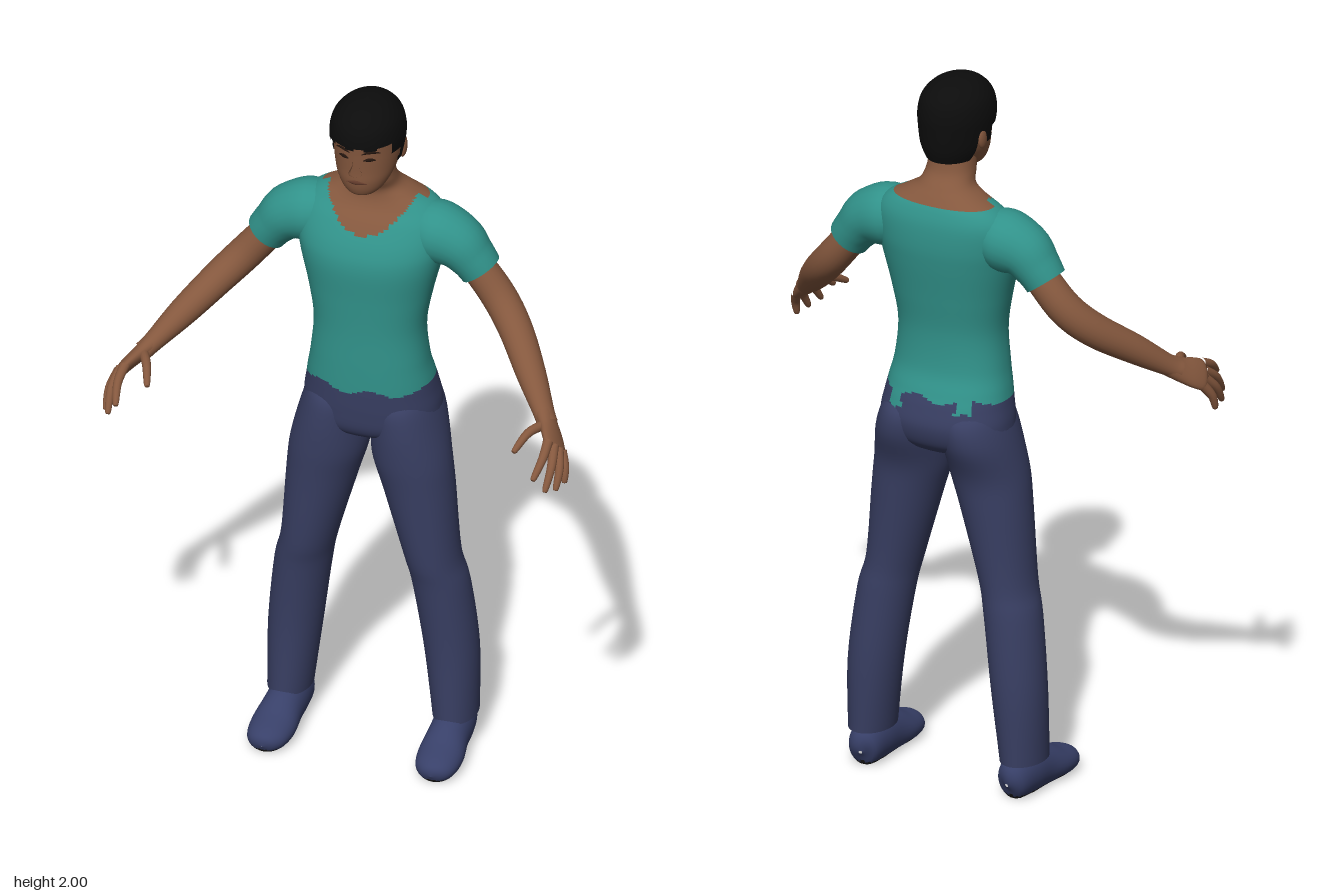
import * as THREE from 'three';

const mat = (name, color, side = THREE.FrontSide) => {
  const m = new THREE.MeshStandardMaterial({ color, side });
  m.name = name;
  return m;
};

// Smooth value between control rows (Catmull-Rom), t counted in rows
function rowAt(rows, t) {
  const i = Math.min(Math.floor(t), rows.length - 2), f = t - i;
  const at = (k) => rows[Math.max(0, Math.min(rows.length - 1, k))];
  const [p, q, r, s] = [at(i - 1), at(i), at(i + 1), at(i + 2)];
  return q.map((v, k) => v + 0.5 * f * (r[k] - p[k] + f * (2 * p[k] - 5 * v + 4 * r[k] - s[k]
    + f * (3 * (v - r[k]) + s[k] - p[k]))));
}

// Skin of oval rings along rows of [x, y, z, halfWidth, halfDepth].
// flat keeps rings level; power below 1 squares the ovals;
// pick(x, y, z) gives a face's material number, or -1 to leave it out.
function sweep(rows, { segs = 24, steps = 5, ref = [0, 0, 1], flat = false, power = 1, floor = -9, pick = () => 0 } = {}) {
  const n = (rows.length - 1) * steps, pos = [], lists = [];
  const soft = (v) => Math.sign(v) * Math.abs(v) ** power;
  for (let i = 0; i <= n; i++) {
    const t = i / steps, [x, y, z, a, b] = rowAt(rows, t);
    const p = rowAt(rows, Math.max(0, t - 0.05)), q = rowAt(rows, Math.min(rows.length - 1, t + 0.05));
    const T = flat ? new THREE.Vector3(0, 1, 0)
      : new THREE.Vector3(q[0] - p[0], q[1] - p[1], q[2] - p[2]).normalize();
    const U = new THREE.Vector3(...ref).projectOnPlane(T).normalize();
    const V = T.clone().cross(U);
    for (let j = 0; j < segs; j++) {
      const w = (j / segs) * Math.PI * 2;
      const c = new THREE.Vector3(x, y, z)
        .addScaledVector(V, Math.max(a, 0.0005) * soft(Math.cos(w)))
        .addScaledVector(U, Math.max(b, 0.0005) * soft(Math.sin(w)));
      pos.push(c.x, Math.max(c.y, floor), c.z);
    }
  }
  for (let i = 0; i < n; i++) for (let j = 0; j < segs; j++) {
    const a = i * segs + j, c = i * segs + (j + 1) % segs, b = a + segs, d = c + segs;
    const mid = [0, 1, 2].map((k) => (pos[a * 3 + k] + pos[b * 3 + k] + pos[c * 3 + k] + pos[d * 3 + k]) / 4);
    const m = pick(...mid);
    if (m >= 0) (lists[m] ??= []).push(a, b, c, b, d, c);
  }
  const geo = new THREE.BufferGeometry(), index = [];
  geo.setAttribute('position', new THREE.Float32BufferAttribute(pos, 3));
  lists.forEach((list, m) => {
    geo.addGroup(index.length, list.length, m);
    for (const v of list) index.push(v);
  });
  geo.setIndex(index);
  geo.computeVertexNormals();
  return geo;
}

export function createModel() {
  const model = new THREE.Group();
  model.name = 'standingMan';
  const skin = mat('skin', 0x85583e);
  const shirt = mat('shirt teal', 0x31928a, THREE.DoubleSide);
  const denim = mat('trouser blue', 0x383e62, THREE.DoubleSide);
  const shoe = mat('shoe blue', 0x384069);
  const sole = mat('sole black', 0x1d1c1b);
  const hair = mat('hair black', 0x0c0c0c, THREE.DoubleSide);
  const dark = mat('eye brown', 0x24160f);
  const lip = mat('lip brown', 0x643c2c);
  const add = (name, geo, material, parent = model) => {
    const mesh = new THREE.Mesh(geo, material);
    mesh.name = name;
    parent.add(mesh);
    return mesh;
  };

  // Pelvis, shirt body and neck in one surface, split by hem and neckline
  const body = [
    [0.95, -0.13, 0.06, 0.06], [0.97, -0.13, 0.14, 0.1], [1.0, -0.134, 0.182, 0.124],
    [1.05, -0.137, 0.186, 0.134], [1.1, -0.13, 0.178, 0.13], [1.14, -0.122, 0.171, 0.123],
    [1.2, -0.112, 0.16, 0.113], [1.3, -0.11, 0.152, 0.11], [1.4, -0.115, 0.168, 0.118],
    [1.5, -0.121, 0.192, 0.128], [1.56, -0.131, 0.203, 0.124], [1.62, -0.146, 0.2, 0.106],
    [1.66, -0.155, 0.17, 0.085], [1.69, -0.152, 0.115, 0.07], [1.715, -0.142, 0.077, 0.062],
    [1.75, -0.12, 0.066, 0.06], [1.8, -0.11, 0.062, 0.06],
  ].map(([y, z, a, b]) => [0, y, z, a, b]);
  add('torso', sweep(body, {
    segs: 96, steps: 7, flat: true, power: 0.9,
    pick: (x, y, z) => {
      const hem = 1.125 + 0.008 * Math.sin(x * 45) - (z < -0.2 && Math.abs(Math.abs(x) - 0.1) < 0.02 ? 0.035 : 0);
      const neckline = z > -0.15 ? 1.597 + 6 * x * x : 1.672;
      return y < hem ? 0 : y > neckline ? 2 : 1;
    },
  }), [denim, shirt, skin]);

  // Limbs, mirrored by sign
  for (const s of [1, -1]) {
    const side = s > 0 ? 'left' : 'right';
    const limb = (name, rows, material, opts) =>
      add(side + name, sweep(rows.map(([x, ...rest]) => [x * s, ...rest]), opts), material);

    limb('TrouserLeg', [
      [0.23, 0.1, -0.135, 0.06, 0.083], [0.217, 0.3, -0.14, 0.073, 0.083],
      [0.192, 0.5, -0.128, 0.077, 0.084], [0.17, 0.6, -0.117, 0.076, 0.088],
      [0.134, 0.8, -0.115, 0.097, 0.1], [0.114, 0.9, -0.116, 0.106, 0.11],
      [0.1, 1.0, -0.134, 0.098, 0.13], [0.09, 1.07, -0.137, 0.085, 0.122], [0.09, 1.11, -0.13, 0.06, 0.07],
    ], denim, { segs: 32, flat: true });

    limb('Shoe', [
      [0.222, 0.045, -0.217, 0.005, 0.005], [0.225, 0.05, -0.2, 0.04, 0.052],
      [0.228, 0.06, -0.14, 0.052, 0.068], [0.23, 0.053, -0.07, 0.055, 0.062],
      [0.233, 0.038, 0, 0.062, 0.046], [0.235, 0.03, 0.055, 0.054, 0.036],
      [0.235, 0.026, 0.083, 0.032, 0.024], [0.235, 0.024, 0.092, 0, 0],
    ], [shoe, sole], { segs: 32, ref: [0, 1, 0], floor: 0, pick: (x, y) => (y < 0.012 ? 1 : 0) });

    limb('Sleeve', [
      [0.11, 1.585, -0.142, 0.065, 0.065], [0.17, 1.583, -0.142, 0.085, 0.085],
      [0.232, 1.562, -0.14, 0.077, 0.077], [0.272, 1.523, -0.14, 0.063, 0.066], [0.298, 1.488, -0.14, 0.058, 0.058],
    ], shirt);

    limb('Arm', [
      [0.22, 1.565, -0.14, 0.045, 0.045], [0.29, 1.49, -0.142, 0.046, 0.047],
      [0.355, 1.413, -0.13, 0.047, 0.048], [0.415, 1.35, -0.085, 0.045, 0.047],
      [0.485, 1.28, 0, 0.039, 0.041], [0.545, 1.218, 0.075, 0.027, 0.031], [0.565, 1.2, 0.1, 0.026, 0.03],
    ], skin);

    // Palm, flat between thumb side and little-finger side
    limb('Palm', [
      [0.545, 1.218, 0.075, 0.026, 0.03], [0.57, 1.197, 0.105, 0.021, 0.036],
      [0.592, 1.18, 0.138, 0.018, 0.044], [0.605, 1.168, 0.163, 0.014, 0.04], [0.61, 1.163, 0.173, 0, 0],
    ], skin, { ref: [-0.35 * s, 0.65, 0.6] });

    const fingers = {
      IndexFinger: [[0.59, 1.195, 0.175], [0.592, 1.172, 0.225], [0.582, 1.135, 0.272]],
      MiddleFinger: [[0.603, 1.18, 0.165], [0.613, 1.145, 0.215], [0.609, 1.095, 0.255]],
      RingFinger: [[0.612, 1.165, 0.153], [0.627, 1.127, 0.19], [0.627, 1.082, 0.22]],
      LittleFinger: [[0.616, 1.15, 0.138], [0.632, 1.115, 0.16], [0.635, 1.078, 0.172]],
      Thumb: [[0.56, 1.205, 0.11], [0.532, 1.205, 0.165], [0.512, 1.178, 0.22]],
    };
    for (const [name, [p, q, r]] of Object.entries(fingers)) {
      const tip = r.map((v, k) => v + (r[k] - q[k]) * 0.06);
      limb(name, [[...p, 0.014, 0.014], [...q, 0.012, 0.012], [...r, 0.008, 0.008], [...tip, 0, 0]],
        skin, { segs: 12, ref: [1, 0, 0] });
    }
  }

  // Head
  const head = new THREE.Group();
  head.name = 'head';
  model.add(head);
  const level = (rows) => rows.map(([y, z, a, b]) => [0, y, z, a, b]);
  add('face', sweep(level([
    [1.73, -0.045, 0, 0], [1.737, -0.042, 0.032, 0.032], [1.755, -0.052, 0.055, 0.055],
    [1.785, -0.068, 0.073, 0.078], [1.82, -0.083, 0.084, 0.094], [1.87, -0.09, 0.09, 0.104],
    [1.92, -0.09, 0.09, 0.106], [1.96, -0.09, 0.076, 0.088], [1.985, -0.09, 0.04, 0.05],
  ]), { segs: 40, flat: true }), skin, head);

  // Cropped hair cap with a fringe, sideburns and nape
  add('hair', sweep(level([
    [1.785, -0.108, 0.07, 0.088], [1.82, -0.098, 0.089, 0.108], [1.87, -0.092, 0.098, 0.118],
    [1.91, -0.09, 0.1, 0.12], [1.95, -0.09, 0.09, 0.109], [1.98, -0.09, 0.064, 0.08],
    [1.995, -0.09, 0.033, 0.042], [2, -0.09, 0, 0],
  ]), {
    segs: 72, steps: 6, flat: true,
    pick: (x, y, z) => {
      const line = z > -0.03 ? 1.9 + 0.006 * Math.sin(x * 110) : z > -0.07 ? 1.872 : z > -0.1 ? 1.825 : z > -0.135 ? 1.85 : 1.785;
      return y > line ? 0 : -1;
    },
  }), hair, head);

  // Facial features
  add('nose', sweep([
    [0, 1.872, 0.008, 0.006, 0.005], [0, 1.84, 0.015, 0.01, 0.01],
    [0, 1.82, 0.018, 0.018, 0.015], [0, 1.808, 0.01, 0.012, 0.008],
  ], { segs: 16, flat: true }), skin, head);
  const strip = (name, pts, r, material) =>
    add(name, sweep(pts.map((p, i) => [...p, i % 2 ? r : 0.001, 0.003]), { segs: 10, ref: [0, 0, 1] }), material, head);
  strip('mouth', [[-0.028, 1.784, 0.003], [0, 1.787, 0.01], [0.028, 1.784, 0.003]], 0.007, lip);
  for (const s of [1, -1]) {
    strip('eye', [[s * 0.02, 1.86, 0.01], [s * 0.035, 1.862, 0.005], [s * 0.05, 1.86, -0.004]], 0.006, dark);
    strip('eyebrow', [[s * 0.016, 1.879, 0.012], [s * 0.038, 1.886, 0.005], [s * 0.06, 1.88, -0.011]], 0.005, dark);
    const ear = add('ear', new THREE.SphereGeometry(1, 16, 12), skin, head);
    ear.scale.set(0.01, 0.03, 0.018);
    ear.position.set(s * 0.09, 1.845, -0.115);
    ear.rotation.x = -0.2;
  }
  return model;
}
